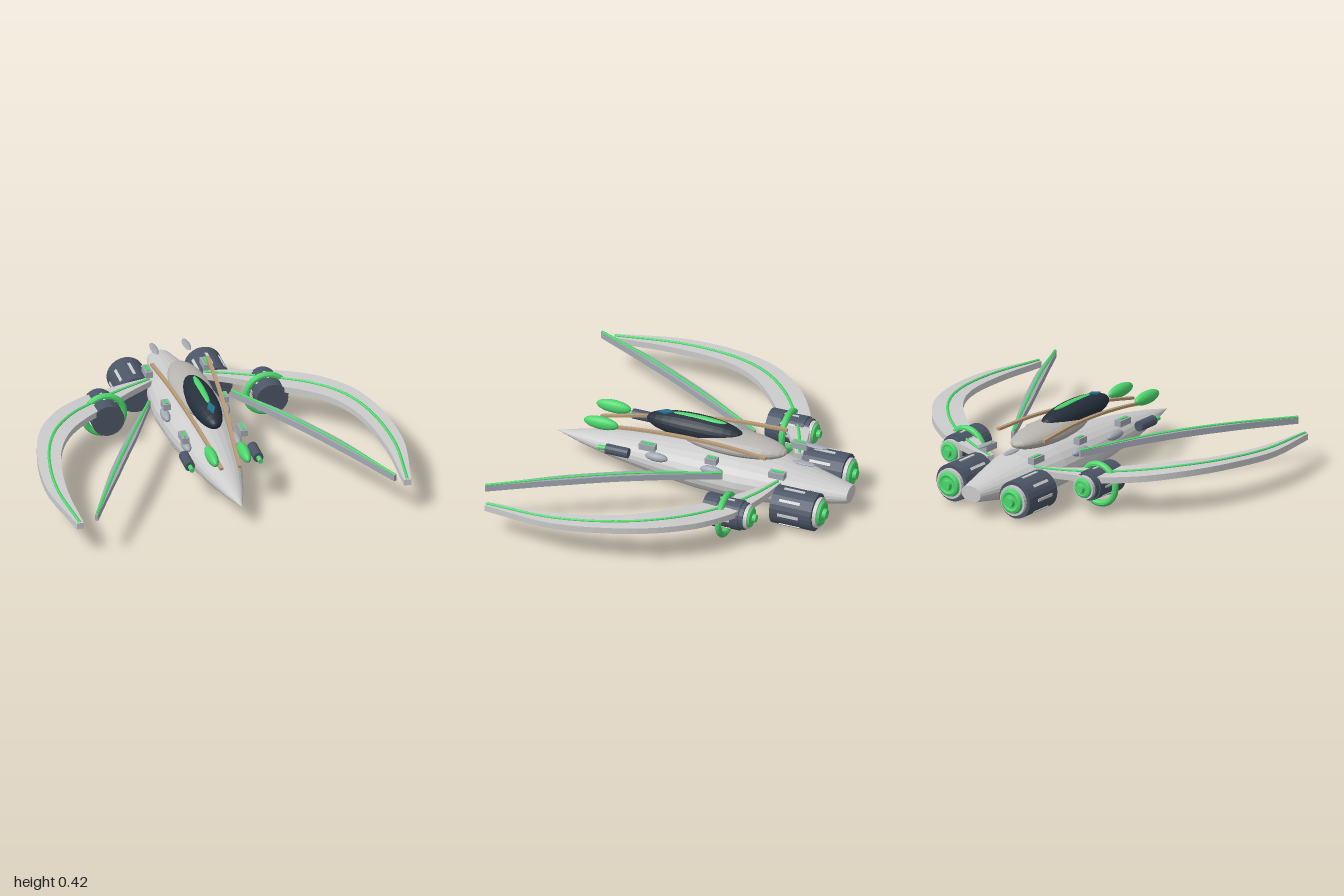
import * as THREE from 'three';

const mat = (color) => new THREE.MeshStandardMaterial({ color, flatShading: true });
const V = (x, y, z) => new THREE.Vector3(x, y, z);

export function createModel() {
  const model = new THREE.Group();
  const grey = mat(0xcccccc), shell = mat(0xb8b5b0), bladeGrey = mat(0xa3a8b3), dark = mat(0x4b5566);
  const glass = mat(0x25303c), green = mat(0x4cd56c), tan = mat(0xb79b78), teal = mat(0x24708c);

  const add = (name, geometry, material, x = 0, y = 0, z = 0, parent = model) => {
    const mesh = new THREE.Mesh(geometry, material);
    mesh.name = name;
    mesh.position.set(x, y, z);
    parent.add(mesh);
    return mesh;
  };
  // Body of revolution along z, from [radius, z] pairs in rising z
  const turned = (pairs, sides = 24) =>
    new THREE.LatheGeometry(pairs.map(([r, z]) => new THREE.Vector2(r, z)), sides).rotateX(Math.PI / 2);
  const ellipsoid = (a, b, c) => new THREE.SphereGeometry(1, 24, 14).rotateX(Math.PI / 2).scale(a, b, c);

  // Tapered slab swept along a curve; widths are half widths spread evenly along it
  function slab(curve, widths, thickness, steps = 32) {
    const pos = [], index = [];
    for (let i = 0; i <= steps; i++) {
      const t = i / steps, p = curve.getPoint(t), k = t * (widths.length - 1);
      const n = Math.min(Math.floor(k), widths.length - 2);
      const w = THREE.MathUtils.lerp(widths[n], widths[n + 1], k - n);
      const dir = curve.getTangent(t);
      const right = V(0, 1, 0).cross(dir).normalize();
      for (const [a, b] of [[-1, -1], [1, -1], [1, 1], [-1, 1]])
        pos.push(p.x + right.x * w * a, p.y + (b * thickness) / 2, p.z + right.z * w * a);
      if (i === steps) continue;
      for (let j = 0; j < 4; j++) {
        const a = i * 4 + j, b = i * 4 + ((j + 1) % 4);
        index.push(a, b, b + 4, a, b + 4, a + 4);
      }
    }
    const e = steps * 4;
    index.push(0, 3, 2, 0, 2, 1, e, e + 1, e + 2, e, e + 2, e + 3);
    const g = new THREE.BufferGeometry();
    g.setAttribute('position', new THREE.Float32BufferAttribute(pos, 3));
    g.setIndex(index);
    const flat = g.toNonIndexed();
    flat.computeVertexNormals();
    return flat;
  }

  // Slab with a glowing line along its upper face
  function wing(name, points, widths, thickness, material) {
    const curve = new THREE.CatmullRomCurve3(points);
    add(name, slab(curve, widths, thickness), material);
    const line = new THREE.CatmullRomCurve3(points.map((p) => V(p.x, p.y + thickness / 2, p.z)));
    add(name + 'Line', new THREE.TubeGeometry(line, 40, 0.009, 6), green);
  }

  // Engine facing backwards: ribbed barrel, collar, green exhaust and slots
  function engine(name, x, y, front, length, r, barrel) {
    const g = new THREE.Group();
    g.name = name;
    g.position.set(x, y, front);
    model.add(g);
    add('barrel', turned(barrel), dark, 0, 0, 0, g);
    add('collar', turned([[0, -length - 0.02], [r * 0.8, -length - 0.02], [r * 0.8, -length]]), grey, 0, 0, 0, g);
    add('exhaustRing', new THREE.TorusGeometry(r * 0.5, r * 0.18, 8, 24), green, 0, 0, -length - 0.02, g);
    add('exhaust', turned([[0, -length - 0.055], [r * 0.25, -length - 0.055], [r * 0.28, -length - 0.035],
      [r * 0.6, -length - 0.03], [r * 0.6, -length]]), green, 0, 0, 0, g);
    for (let i = 0; i < 8; i++) {
      const a = (i * Math.PI) / 4;
      add('slot', new THREE.BoxGeometry(0.006, r * 0.15, length * 0.5), grey,
        Math.cos(a) * r, Math.sin(a) * r, -length * 0.45, g).rotation.z = a;
    }
  }

  // Fuselage and cockpit
  add('fuselage', turned([[0, -0.9], [0.065, -0.9], [0.12, -0.7], [0.168, -0.52], [0.19, -0.3], [0.178, -0.05],
    [0.145, 0.2], [0.1, 0.45], [0.05, 0.65], [0, 0.8]]).scale(1, 0.7, 1), grey, 0, 0.14, 0);
  add('cockpitFairing', ellipsoid(0.108, 0.06, 0.31), shell, 0, 0.31, -0.22);
  add('canopy', ellipsoid(0.08, 0.07, 0.28), glass, 0, 0.352, 0);
  add('canopyStrip', ellipsoid(0.02, 0.012, 0.155), green, 0, 0.414, -0.025);
  add('canopyMarker', new THREE.CylinderGeometry(0.022, 0.022, 0.008, 4).scale(1, 1, 2.4),
    teal, 0, 0.408, 0.17).rotation.x = 0.19;

  for (const s of [1, -1]) {
    // Wings
    wing('outerWing', [V(s * 0.15, 0.205, -0.54), V(s * 0.32, 0.205, -0.47), V(s * 0.5, 0.21, -0.37),
      V(s * 0.66, 0.222, -0.25), V(s * 0.8, 0.23, -0.08), V(s * 0.89, 0.222, 0.13),
      V(s * 0.94, 0.2, 0.455), V(s * 0.91, 0.178, 0.84)],
    [0.02, 0.05, 0.085, 0.09, 0.08, 0.065, 0.055, 0.02], 0.035, grey);
    wing('innerBlade', [V(s * 0.23, 0.235, -0.25), V(s * 0.43, 0.262, 0.13), V(s * 0.63, 0.262, 0.5),
      V(s * 0.83, 0.238, 0.88)], [0.008, 0.024, 0.024, 0.008], 0.035, bladeGrey);

    // Engines
    engine('rearEngine', s * 0.215, 0.125, -0.555, 0.24, 0.105,
      [[0, -0.24], [0.104, -0.24], [0.104, 0], [0, 0]]);
    engine('wingEngine', s * 0.455, 0.165, -0.25, 0.235, 0.083,
      [[0, -0.235], [0.075, -0.235], [0.075, -0.21], [0.083, -0.21], [0.083, -0.08], [0.089, -0.08], [0.089, 0], [0, 0]]);
    add('engineRing', new THREE.TorusGeometry(0.11, 0.018, 10, 40), green, s * 0.45, 0.147, -0.36);

    // Long rails beside the canopy
    const rail = new THREE.CatmullRomCurve3([V(s * 0.05, 0.255, 0.57), V(s * 0.072, 0.298, 0.35),
      V(s * 0.1, 0.335, 0.1), V(s * 0.13, 0.357, -0.2), V(s * 0.155, 0.352, -0.47)]);
    add('rail', slab(rail, [0.01, 0.01], 0.014), tan);

    // Nose pods and small guns
    add('nosePod', ellipsoid(0.03, 0.037, 0.1), green, s * 0.09, 0.307, 0.51);
    add('gunBarrel', turned([[0, -0.065], [0.028, -0.065], [0.028, 0.065], [0, 0.065]], 12), dark, s * 0.19, 0.22, 0.375);
    add('gunMuzzle', turned([[0, 0], [0.013, 0], [0.013, 0.045], [0, 0.045]], 12), green, s * 0.19, 0.22, 0.44);

    // Hull blocks with green tops
    for (const [z, length] of [[-0.54, 0.09], [-0.16, 0.065], [0.21, 0.09]]) {
      add('hullBlock', new THREE.BoxGeometry(0.04, 0.035, length), bladeGrey, s * 0.162, 0.272, z);
      add('hullBlockLight', new THREE.BoxGeometry(0.016, 0.006, length * 0.7), green, s * 0.162, 0.291, z);
    }

    // Side bulges and tail discs
    add('sideBulge', ellipsoid(0.025, 0.025, 0.065), bladeGrey, s * 0.14, 0.2, 0.17);
    add('sideBulge', ellipsoid(0.025, 0.025, 0.065), bladeGrey, s * 0.165, 0.21, -0.16);
    add('tailDisc', ellipsoid(0.02, 0.008, 0.065), bladeGrey, s * 0.09, 0.333, -0.665);
  }
  return model;
}
